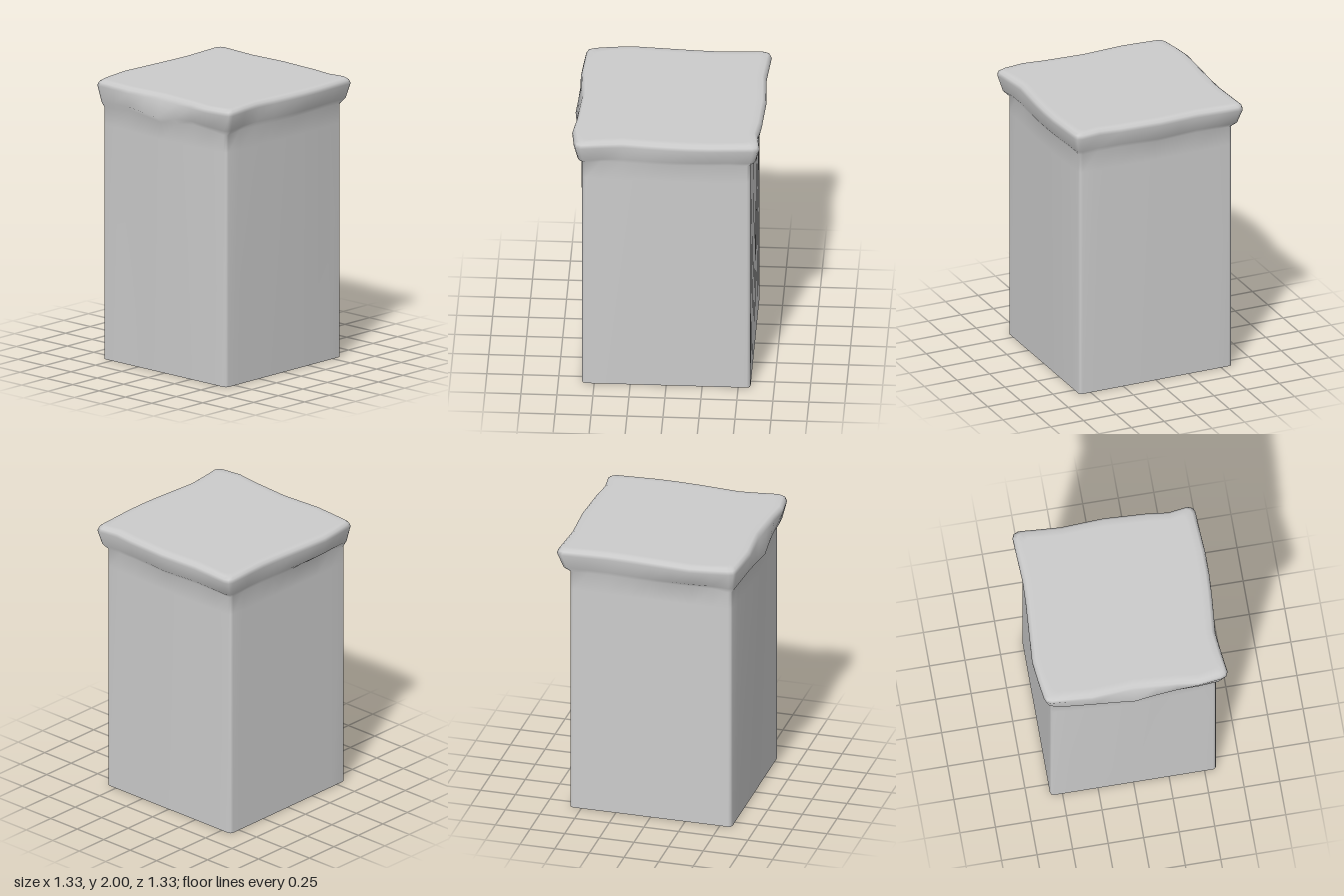
import * as THREE from 'three';

// Each side lists offsets at these positions along x or z
const AT = [-0.6, -0.45, -0.3, -0.15, 0, 0.15, 0.3, 0.45, 0.6];
const SIDES = {
  front: {
    rim: [0.62, 0.63, 0.64, 0.63, 0.62, 0.63, 0.64, 0.66, 0.64],
    lip: [0.6, 0.625, 0.643, 0.65, 0.66, 0.645, 0.635, 0.63, 0.615],
    bulge: [0, 0.01, 0.02, 0.027, 0.035, 0.027, 0.02, 0.01, 0],
    lift: [0, 0.015, 0.03, 0.015, 0, 0.015, 0.03, 0.015, 0],
  },
  right: {
    rim: [0.64, 0.648, 0.657, 0.657, 0.65, 0.638, 0.625, 0.642, 0.66],
    lip: [0.615, 0.622, 0.632, 0.634, 0.63, 0.622, 0.612, 0.618, 0.625],
    bulge: [0, 0.01, 0.02, 0.02, 0.02, 0.015, 0.01, 0.005, 0],
    lift: [0.01, 0.015, 0.015, 0.012, 0.01, 0.012, 0.015, 0.015, 0],
  },
  back: {
    rim: [0.67, 0.66, 0.65, 0.658, 0.665, 0.657, 0.65, 0.632, 0.65],
    lip: [0.63, 0.63, 0.63, 0.635, 0.64, 0.632, 0.625, 0.612, 0.62],
    bulge: [0, 0.005, 0.01, 0.012, 0.015, 0.012, 0.01, 0.005, 0],
    lift: [0.01, 0.015, 0.02, 0.015, 0.01, 0.015, 0.02, 0.015, 0.01],
  },
  left: {
    rim: [0.645, 0.637, 0.63, 0.635, 0.645, 0.655, 0.665, 0.648, 0.63],
    lip: [0.615, 0.612, 0.61, 0.615, 0.622, 0.63, 0.635, 0.622, 0.605],
    bulge: [0, 0, 0, 0, 0, 0, 0, 0, 0],
    lift: [0.01, 0.015, 0.015, 0.012, 0.01, 0.012, 0.015, 0.015, 0],
  },
};

// Walk once round the box; out(side, i) is the distance of that side from the axis
function ring(out, height, r) {
  const pts = [];
  const { front, right, back, left } = SIDES;
  const walk = [
    [front, 1, 0, 1, right, 8],
    [right, 0, 1, -1, back, 8],
    [back, 1, 0, -1, left, 0],
    [left, 0, 1, 1, front, 0],
  ];
  for (const [side, alongX, , dir, next, nextIndex] of walk) {
    const sign = side === front || side === right ? 1 : -1;
    const nextSign = next === front || next === right ? 1 : -1;
    const put = (along, away, y) => pts.push(alongX ? [along, y, away] : [away, y, along]);
    for (let k = 1; k <= 7; k++) {
      const i = dir > 0 ? k : 8 - k;
      put(AT[i], sign * out(side, i), height(side, i));
    }
    // Rounded corner
    const end = dir > 0 ? 8 : 0;
    const along = out(next, nextIndex), away = out(side, end), y = height(side, end);
    for (const [a, b] of [[1, 0], [0.3, 0.3], [0, 1]]) {
      put(nextSign * (along - a * r), sign * (away - b * r), y);
    }
  }
  return pts;
}

// Join the rings into one smooth skin, optionally closed at the top
function loft(rings, closeTop) {
  const n = rings[0].length;
  const index = [];
  for (let i = 0; i + 1 < rings.length; i++) {
    for (let j = 0; j < n; j++) {
      const a = i * n + j, b = i * n + (j + 1) % n;
      index.push(a, b, b + n, a, b + n, a + n);
    }
  }
  const points = rings.flat();
  if (closeTop) {
    const centre = points.length, last = centre - n;
    points.push([0, 2, 0]);
    for (let j = 0; j < n; j++) index.push(last + j, last + (j + 1) % n, centre);
  }
  const geometry = new THREE.BufferGeometry();
  geometry.setAttribute('position', new THREE.Float32BufferAttribute(points.flat(), 3));
  geometry.setIndex(index);
  geometry.computeVertexNormals();
  return geometry;
}

export function createModel() {
  const group = new THREE.Group();
  group.name = 'cappedPillar';
  const material = new THREE.MeshStandardMaterial({ color: 0xcccccc, side: THREE.DoubleSide });
  const flat = (y) => () => y;
  const shaftOut = (amount) => (s, i) => 0.585 + amount * s.bulge[i];
  const rimOut = (inset) => (s, i) => s.rim[i] - inset;

  // Hollow shaft, open underneath and swelling slightly towards the neck
  const neck = ring(shaftOut(1), (s, i) => 1.805 + s.lift[i], 0.025);
  const shaft = [
    ring(shaftOut(0), flat(0), 0.025),
    ring(shaftOut(0.95), flat(1.68), 0.025),
    neck,
  ];

  // Wavy overhanging cap with a flat top
  const top = ring(rimOut(0.07), flat(2), 0.04);
  const cap = [
    ring((s, i) => s.lip[i], (s, i) => 1.845 + s.lift[i] * 0.8, 0.035),
    ring(rimOut(0), flat(1.96), 0.045),
    ring(rimOut(0.008), flat(1.985), 0.045),
    ring(rimOut(0.027), flat(2), 0.04),
    top,
    top.map(([x, y, z]) => [x * 0.5, y, z * 0.5]),
  ];

  const body = new THREE.Mesh(loft([...shaft, ...cap], true), material);
  body.name = 'shaftAndCap';
  group.add(body);
  return group;
}
